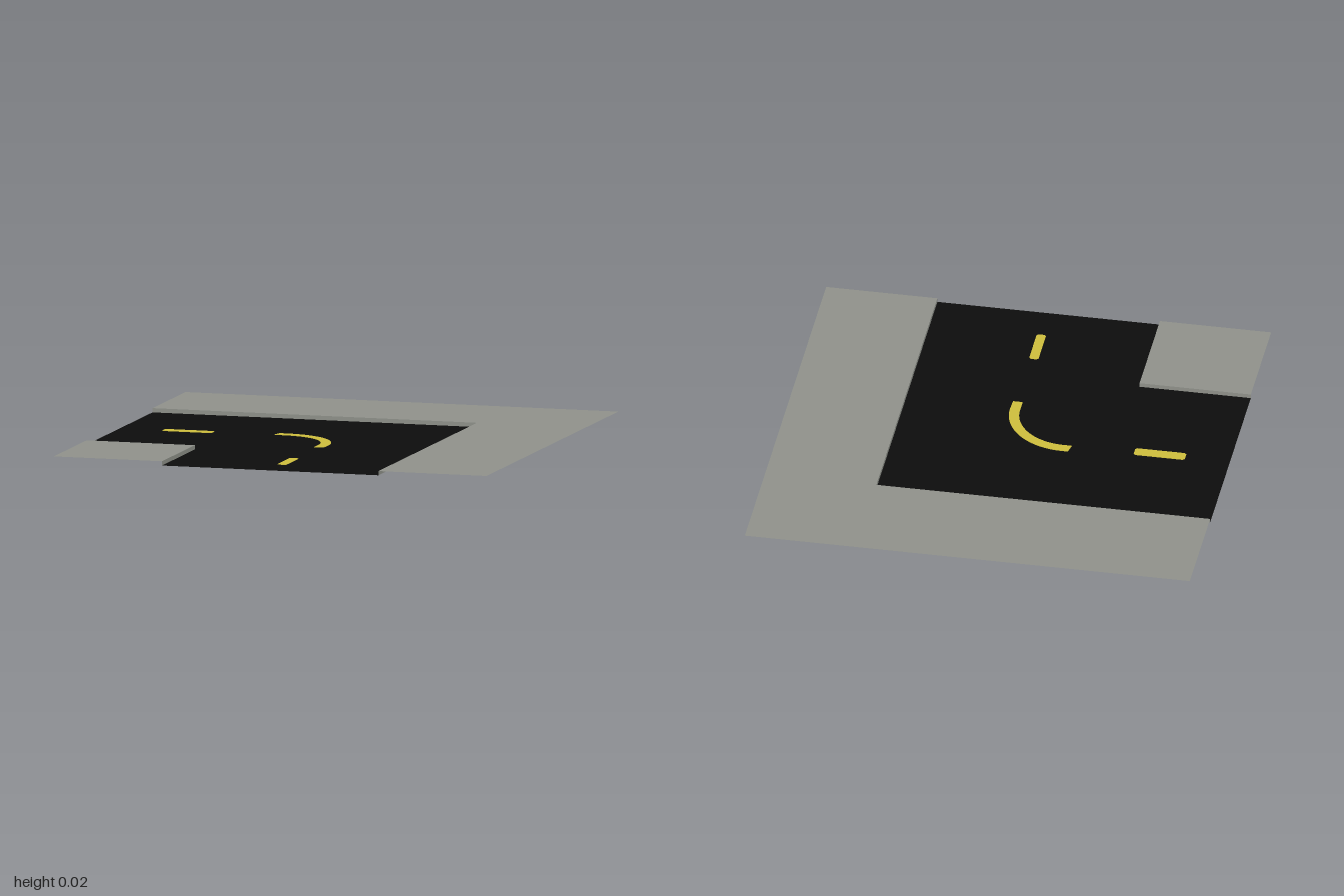
import * as THREE from 'three';

const ROAD_Y = 0.003, WALK_Y = 0.022;

export function createModel() {
  const group = new THREE.Group();
  const material = (name, color) => {
    const m = new THREE.MeshStandardMaterial({ color, side: THREE.DoubleSide });
    m.name = name;
    return m;
  };
  const paving = material('paving grey', 0x8f918a);
  const asphalt = material('asphalt black', 0x0d0d0d);
  const paint = material('road paint yellow', 0xcdbd3c);

  const add = (name, geometry, mat, y = 0) => {
    const mesh = new THREE.Mesh(geometry, mat);
    mesh.name = name;
    mesh.position.y = y;
    group.add(mesh);
  };
  // Outlines are given as [x, z]; shapes are drawn with -z up, then laid flat
  const outline = (points) => new THREE.Shape(points.map(([x, z]) => new THREE.Vector2(x, -z)));
  const sheet = (shape) => new THREE.ShapeGeometry(shape).rotateX(-Math.PI / 2);
  const plate = (shape) =>
    new THREE.ExtrudeGeometry(shape, { depth: 0.005, bevelEnabled: false, curveSegments: 12 }).rotateX(-Math.PI / 2);

  // Road surface turning from the left edge to the front edge
  add('road', sheet(outline([[-1, -0.5], [0.5, -0.5], [0.5, 1], [-0.5, 1], [-0.5, 0.5], [-1, 0.5]])), asphalt, ROAD_Y);

  // Raised pavements on the outside and inside of the bend
  add('outerPavement', sheet(outline([[-1, -1], [1, -1], [1, 1], [0.5, 1], [0.5, -0.5], [-1, -0.5]])), paving, WALK_Y);
  add('innerPavement', sheet(outline([[-1, 0.5], [-0.5, 0.5], [-0.5, 1], [-1, 1]])), paving, WALK_Y);

  // Upright kerb faces; yaw turns each one towards the road
  const kerb = (name, length, x, z, yaw) => {
    const h = WALK_Y - ROAD_Y;
    add(name, new THREE.PlaneGeometry(length, h).rotateY(yaw).translate(x, ROAD_Y + h / 2, z), paving);
  };
  kerb('outerKerbBack', 1.5, -0.25, -0.5, 0);
  kerb('outerKerbSide', 1.5, 0.5, 0.25, -Math.PI / 2);
  kerb('innerKerbBack', 0.5, -0.75, 0.5, Math.PI);
  kerb('innerKerbSide', 0.5, -0.5, 0.75, Math.PI / 2);

  // Straight dashes with clipped corners, showing on both faces of the road
  const dash = (x0, x1, z0, z1) => {
    const c = 0.008;
    return plate(outline([[x0 + c, z0], [x1 - c, z0], [x1, z0 + c], [x1, z1 - c],
      [x1 - c, z1], [x0 + c, z1], [x0, z1 - c], [x0, z0 + c]]));
  };
  add('sideDash', dash(-0.8, -0.57, -0.035, 0.017), paint);
  add('frontDash', dash(-0.021, 0.021, 0.63, 0.825), paint);

  // Curved dash around the bend, with short straight ends
  const cx = -0.25, cz = 0.22, ro = 0.282, ri = 0.236;
  const bend = new THREE.Shape();
  bend.moveTo(-0.29, -(cz - ri));
  bend.lineTo(-0.28, -(cz - ro));
  bend.absarc(cx, -cz, ro, Math.PI / 2, 0, true);
  bend.lineTo(cx + ro - 0.003, -0.285);
  bend.lineTo(cx + ri, -0.285);
  bend.absarc(cx, -cz, ri, 0, Math.PI / 2, false);
  add('curvedDash', plate(bend), paint);

  return group;
}
